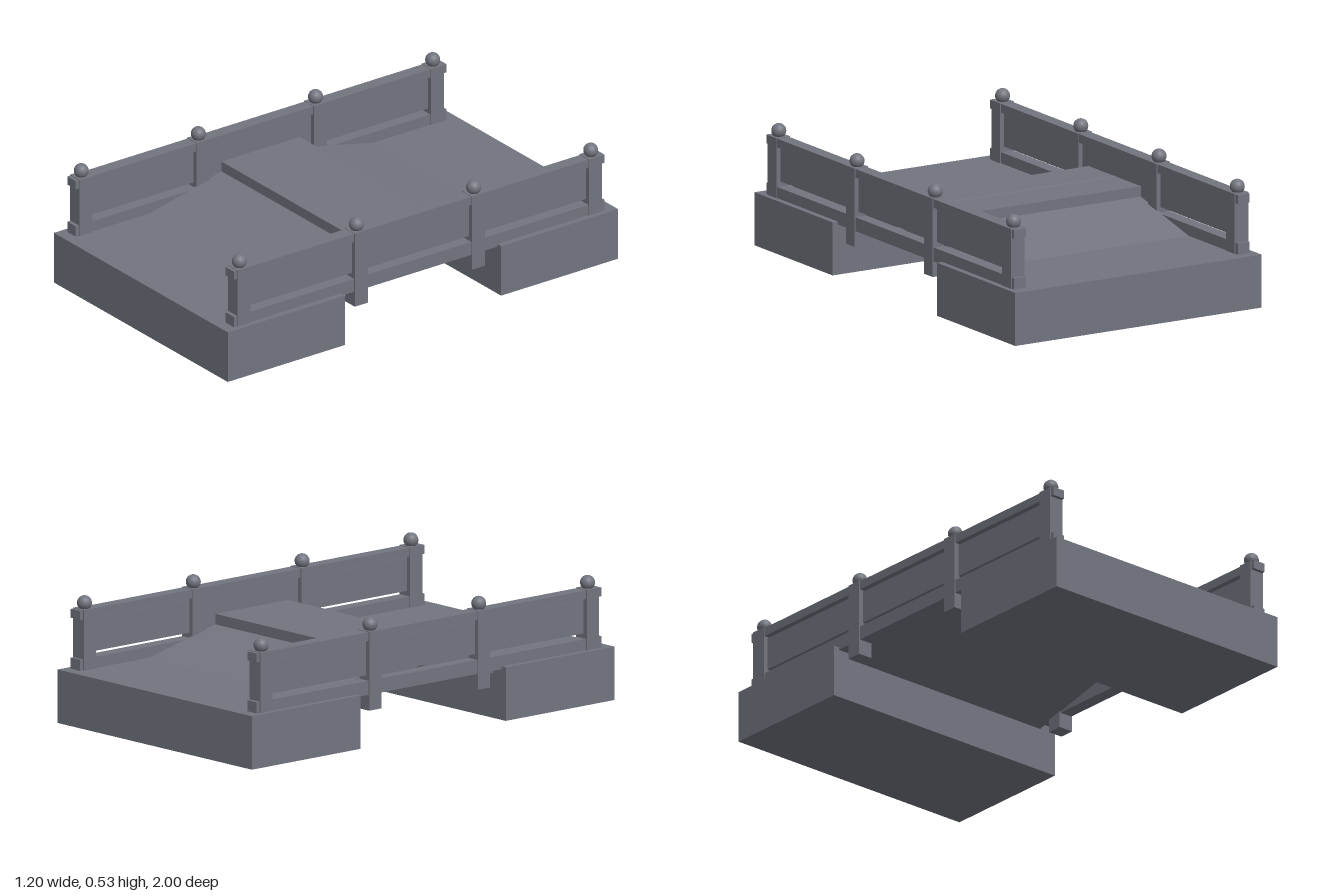
import * as THREE from 'three';

const material = new THREE.MeshStandardMaterial({ color: 0x72757f });

function add(parent, name, geometry, x, y, z) {
  const mesh = new THREE.Mesh(geometry, material);
  mesh.name = name;
  mesh.position.set(x, y, z);
  parent.add(mesh);
  return mesh;
}

// Box given by its centre in x and z and its bottom and top heights
function block(parent, name, w, d, y0, y1, x, z) {
  return add(parent, name, new THREE.BoxGeometry(w, y1 - y0, d), x, (y0 + y1) / 2, z);
}

// Sloping leaf: side outline in (z, y), extruded across the width
function ramp(parent, side) {
  const outline = [[0.62, 0.214], [0, 0.357], [0, 0.28], [0.603, 0.141]];
  const shape = new THREE.Shape(outline.map(([z, y]) => new THREE.Vector2(-z, y)));
  const width = 1.04;
  const geometry = new THREE.ExtrudeGeometry(shape, { depth: width, bevelEnabled: false });
  geometry.translate(0, 0, -width / 2);
  geometry.rotateY(side * Math.PI / 2);
  add(parent, 'rampLeaf', geometry, 0, 0, 0);
}

function railing(side) {
  const group = new THREE.Group();
  group.name = side > 0 ? 'leftRailing' : 'rightRailing';
  const x = side * 0.545;

  block(group, 'topRail', 0.058, 1.9, 0.44, 0.477, x, 0);
  block(group, 'bottomRail', 0.058, 1.9, 0.213, 0.272, x, 0);

  // Posts with ball finials; the inner posts hang below the deck
  for (const z of [-0.9, -0.3, 0.3, 0.9]) {
    const bottom = Math.abs(z) < 0.5 ? 0.147 : 0.22;
    block(group, 'post', 0.067, 0.067, bottom, 0.479, x, z);
    add(group, 'finial', new THREE.SphereGeometry(0.031, 24, 16), x, 0.501, z);
  }

  // Recessed panels between the posts
  for (const z of [-0.6, 0, 0.6]) {
    block(group, 'panel', 0.026, 0.54, 0.293, 0.434, x, z);
  }
  return group;
}

export function createModel() {
  const model = new THREE.Group();
  model.name = 'bridge';

  // The two leaves meet in a ridge that just shows through the flat deck
  for (const side of [1, -1]) {
    block(model, 'abutment', 1.2, 0.6, 0, 0.225, 0, side * 0.7);
    ramp(model, side);
    model.add(railing(side));
  }
  block(model, 'centreDeck', 1.04, 0.4, 0.285, 0.355, 0, 0);
  return model;
}
